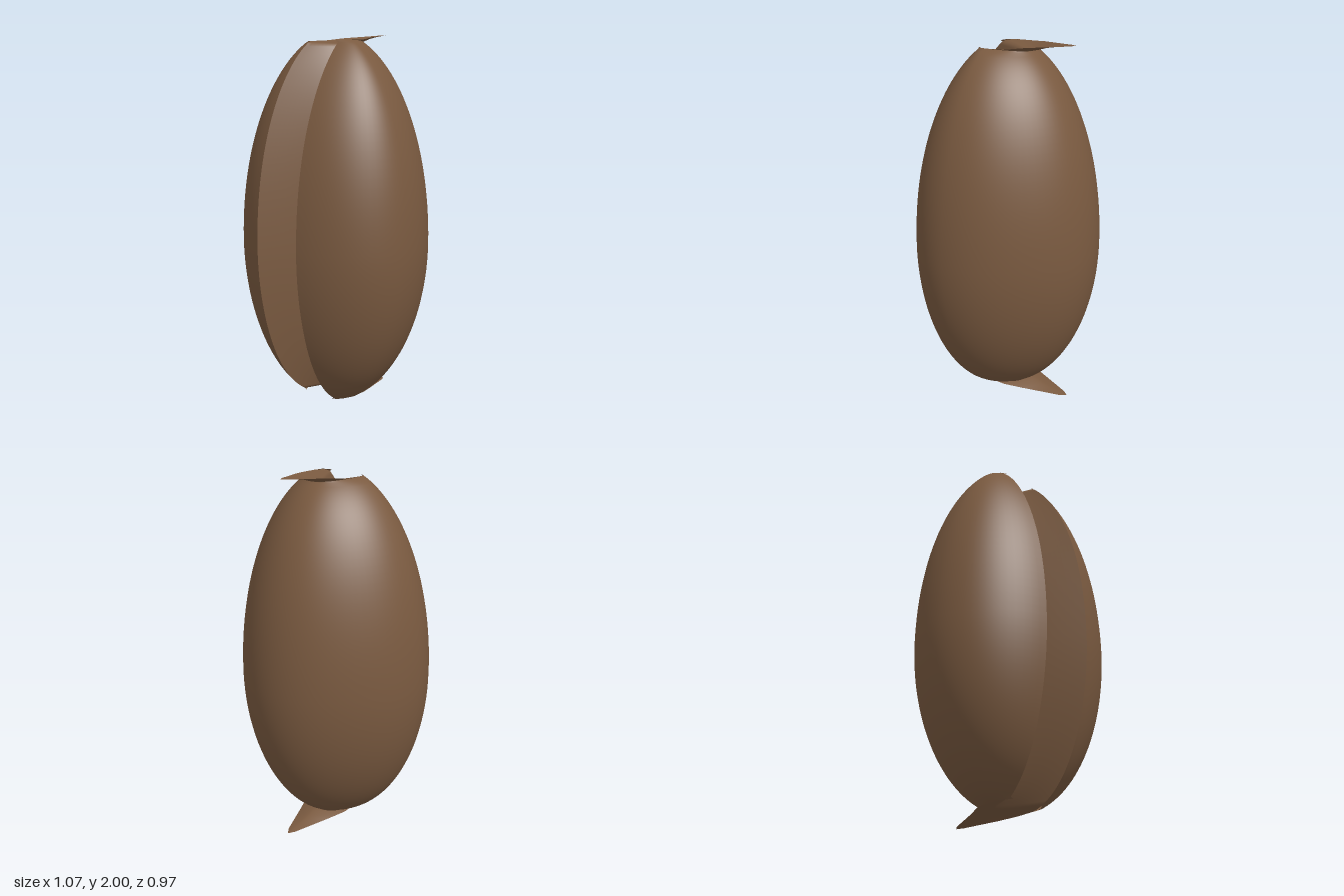
import * as THREE from 'three';

const lerp = THREE.MathUtils.lerp;
const ROWS = 56;
const END_ANGLE = 1.235;

// Smooth surface through a grid of points: at(u, row) with u in 0..1
function surface(nu, nv, at) {
  const pos = [], idx = [];
  for (let j = 0; j <= nv; j++)
    for (let i = 0; i <= nu; i++) {
      pos.push(...at(i / nu, j));
      if (i < nu && j < nv) {
        const a = j * (nu + 1) + i, b = a + nu + 1;
        idx.push(a, a + 1, b, a + 1, b + 1, b);
      }
    }
  const g = new THREE.BufferGeometry();
  g.setAttribute('position', new THREE.Float32BufferAttribute(pos, 3));
  g.setIndex(idx);
  g.computeVertexNormals();
  return g;
}

// Horizontal cross-section of the seed, row 0 (bottom) to ROWS (top)
function section(row) {
  const angle = lerp(-END_ANGLE, END_ANGLE, row / ROWS);
  const t = Math.sin(angle), e = Math.cos(angle);
  return {
    y: 0.9 + t * (t > 0 ? 1.11 : 0.9),
    w: 0.535 * e,
    centre: 0.08,
    back: 0.06 - 0.54 * e,
    lipX: 0.145 * e ** 0.25,
    lipZ: 0.485 * e - 0.09 * t * e * (1 - e),
    floor: 0.2 - 0.37 * (1 - e),
    bend: -0.022 * e * e,
    power: lerp(1.8, 0.92, e),
  };
}

export function createModel() {
  const group = new THREE.Group();
  const material = new THREE.MeshStandardMaterial({ color: 0x7a5a40, side: THREE.DoubleSide });
  const add = (name, geometry) => {
    const mesh = new THREE.Mesh(geometry, material);
    mesh.name = name;
    group.add(mesh);
  };

  // Rounded shell from lip to lip around the back; its end rows turn in to the groove rim
  add('shell', surface(72, ROWS + 2, (u, j) => {
    const row = THREE.MathUtils.clamp(j - 1, 0, ROWS);
    const rim = j === 0 ? -1 : j === ROWS + 2 ? 1 : 0;
    const s = section(row);
    const lipAngle = Math.asin(s.lipX / s.w);
    const a = lerp(lipAngle, 2 * Math.PI - lipAngle, u);
    const k = Math.cos(a), side = Math.abs(Math.sin(a));
    const r = k > 0 ? (s.lipZ - s.centre) / Math.cos(lipAngle) : s.centre - s.back;
    const slim = k > 0 ? 1 : 1 - 0.035 * Math.sin(2 * a) ** 2;
    const inset = rim ? 1 - 0.2 * side : 1;
    return [s.w * Math.sin(a) * slim * inset, s.y + rim * 0.014 * side, s.centre + r * k * slim];
  }));

  // Groove rows: [lip x, lip y, lip z, floor y, floor z, floor x, wall power]
  const body = [];
  for (let row = 0; row <= ROWS; row++) {
    const s = section(row);
    body.push([s.lipX, s.y, s.lipZ, s.y, s.floor, s.bend, s.power]);
  }
  // The groove runs over each end and out to a pointed beak behind
  const beak = [
    [0.13, 1.957, 0.125, 1.947, -0.08, 0, 1.5],
    [0.145, 1.962, 0.07, 1.949, -0.11, 0, 1.5],
    [0.14, 1.967, -0.03, 1.956, -0.15, 0, 1.5],
    [0.1, 1.98, -0.13, 1.972, -0.2, 0, 1.5],
    [0.055, 1.99, -0.25, 1.984, -0.26, 0, 1.5],
    [0.025, 1.997, -0.33, 1.992, -0.31, 0, 1.5],
    [0, 2, -0.365, 2, -0.365, 0, 1.5],
  ];
  const bottomBeak = beak.map(([x, y, z, fy, ...rest]) => [x, 2 - y, z, 2 - fy, ...rest]).reverse();
  const rows = [...bottomBeak, ...body, ...beak];

  // Groove down the front, from the bottom beak to the top beak
  add('grooveAndBeaks', surface(24, rows.length - 1, (u, j) => {
    const [x, y, z, floorY, floorZ, floorX, power] = rows[j];
    const side = u * 2 - 1, d = Math.abs(side), rise = d ** power;
    return [side * x + floorX * (1 - d), lerp(floorY, y, rise), lerp(floorZ, z, rise)];
  }));

  return group;
}
